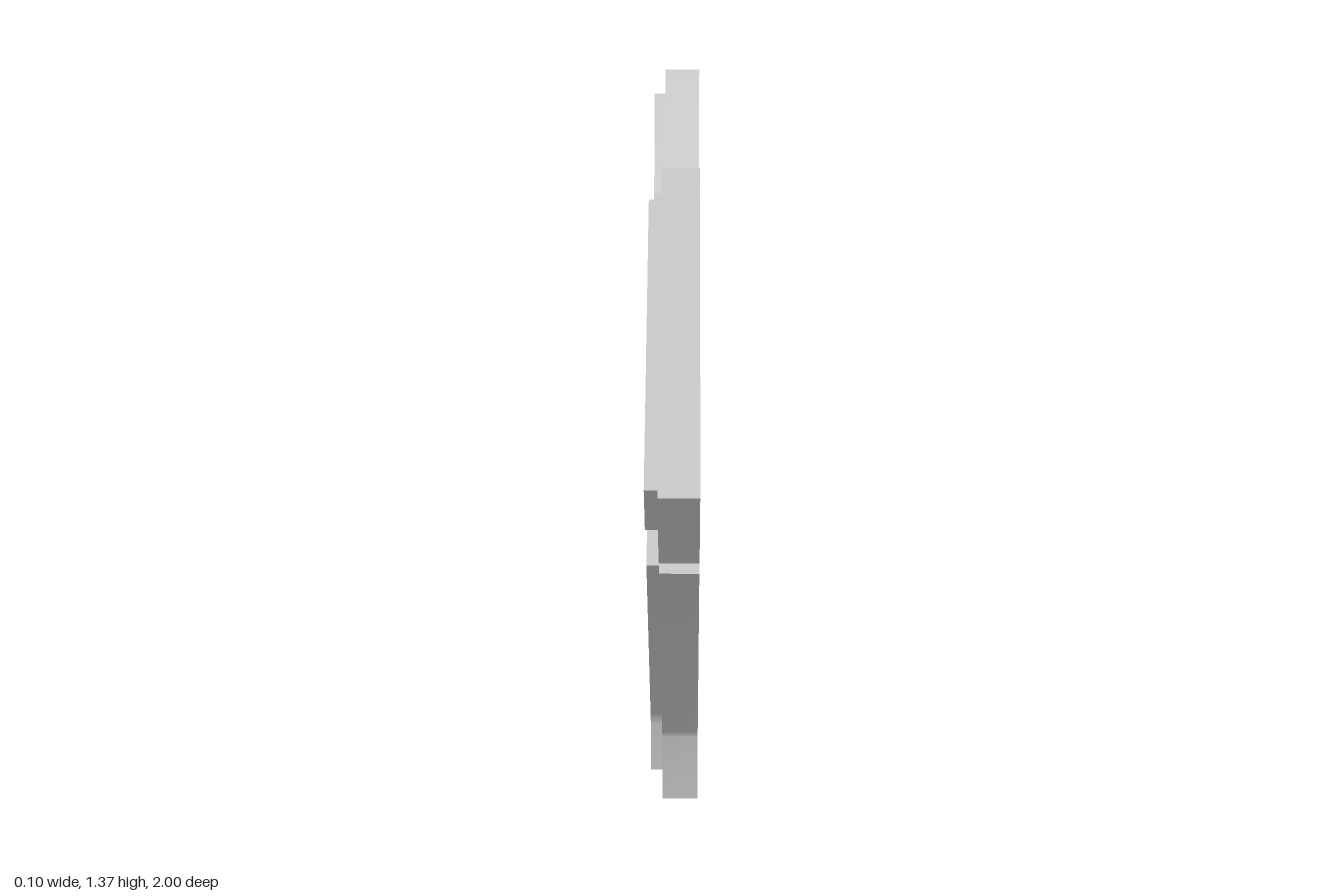
import * as THREE from 'three';
import { toCreasedNormals } from 'three/addons/utils/BufferGeometryUtils.js';

const C = Math.cos(Math.PI / 6), S = 0.5;

// Point in the arm's tilted frame: u runs outward along the arm, v across it
const tilted = (u, v) => new THREE.Vector2(u * C + v * S, -u * S + v * C);

function arc(center, radius, fromDeg, toDeg, steps) {
  return Array.from({ length: steps + 1 }, (_, i) => {
    const a = THREE.MathUtils.degToRad(fromDeg + (toDeg - fromDeg) * i / steps);
    return new THREE.Vector2(center.x + radius * Math.cos(a), center.y + radius * Math.sin(a));
  });
}

// Symmetric outline, inset all round by d
function outline(d) {
  const base = 0.497, side = 0.349, armEnd = 0.373, armTop = 1.354, notch = -0.39, top = 1.14;
  const slotV = 1.0948, slotR = 0.039, fillet = 0.04;
  const baseCenter = new THREE.Vector2(base + fillet, 2 * (C * (base + fillet) - side - fillet));
  const notchCenter = new THREE.Vector2((notch - fillet + S * (top + fillet)) / C, top + fillet);
  const half = [
    new THREE.Vector2(base - d, d),
    ...arc(baseCenter, fillet + d, 180, 150, 6),
    tilted(side - d, slotV - slotR - d),
    ...arc(tilted(-0.252, slotV), slotR + d, 240, 60, 20),
    tilted(armEnd - d, slotV + slotR + d),
    tilted(armEnd - d, armTop - d),
    tilted(notch + d, armTop - d),
    ...arc(notchCenter, fillet + d, -30, -90, 8),
  ];
  const mirrored = half.map(p => new THREE.Vector2(-p.x, p.y)).reverse();
  return new THREE.Shape([...half, ...mirrored]);
}

// Plate standing in the yz plane between two x positions
function plate(name, inset, x0, x1, material) {
  const extruded = new THREE.ExtrudeGeometry(outline(inset), { depth: x1 - x0, bevelEnabled: false });
  extruded.rotateY(Math.PI / 2).translate(x0, 0, 0);
  const mesh = new THREE.Mesh(toCreasedNormals(extruded, 0.4), material);
  mesh.name = name;
  return mesh;
}

export function createModel() {
  const grey = new THREE.MeshStandardMaterial({ color: 0xbebebe });
  grey.name = 'plain grey';
  const model = new THREE.Group();
  model.name = 'slottedPlate';
  model.add(
    plate('mainPlate', 0, -0.025, 0.05, grey),
    plate('raisedInsetPlate', 0.044, -0.05, -0.025, grey),
  );
  return model;
}
